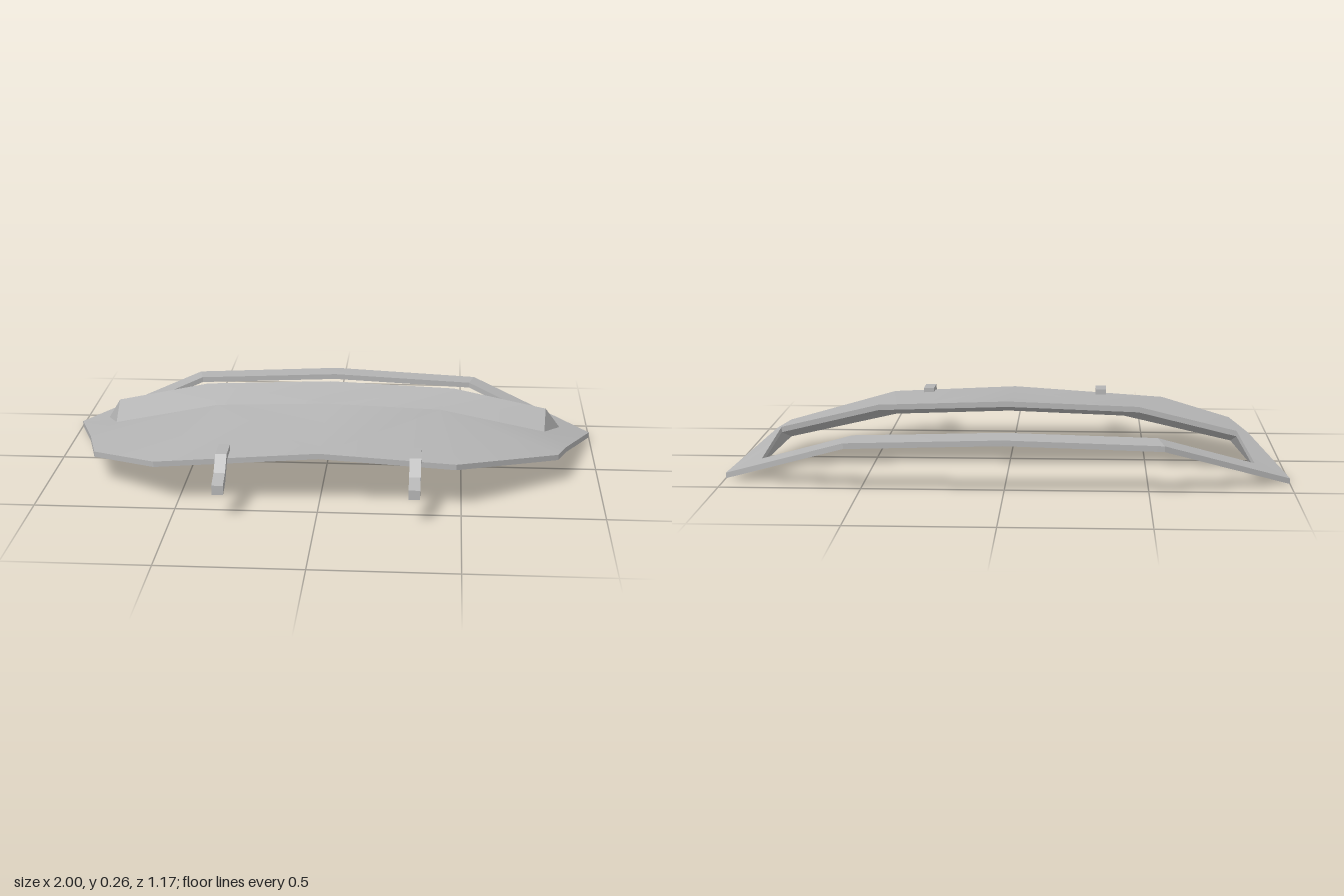
import * as THREE from 'three';
import { toCreasedNormals } from 'three/addons/utils/BufferGeometryUtils.js';

const THICKNESS = 0.02;

// Centreline points of the lid's upper surface
const centre = {
  front: [0, 0.195, 0.44], crease: [0, 0.215, -0.062], ridge: [0, 0.257, -0.208],
  innerRear: [0, 0.2, -0.485], outerRear: [0, 0.195, -0.588],
};
// Points on one half, mirrored to the other
const half = {
  creaseMid: [0.42, 0.2, -0.063], creaseEnd: [0.81, 0.115, -0.085],
  ridgeMid: [0.47, 0.24, -0.202], ridgeEnd: [0.82, 0.16, -0.225],
  side: [0.885, 0.1, 0.04], outerCorner: [1, 0.02, -0.365], innerCorner: [0.88, 0.06, -0.305],
  innerMid: [0.53, 0.182, -0.465], outerMid: [0.55, 0.175, -0.566],
};
// The two front corners differ slightly
const corners = {
  '1': { frontCorner: [0.48, 0.17, 0.45], frontSide: [0.85, 0.11, 0.155] },
  '-1': { frontCorner: [0.58, 0.155, 0.45], frontSide: [0.83, 0.115, 0.25] },
};
// Faces of one half
const faces = [
  ['creaseMid', 'crease', 'front', 'frontCorner'],
  ['creaseMid', 'frontCorner', 'frontSide', 'side', 'creaseEnd'],
  ['crease', 'creaseMid', 'ridgeMid', 'ridge'],
  ['creaseMid', 'creaseEnd', 'ridgeEnd', 'ridgeMid'],
  ['creaseEnd', 'innerCorner', 'ridgeEnd'],
  ['creaseEnd', 'side', 'outerCorner', 'innerCorner'],
  ['innerCorner', 'outerCorner', 'outerMid', 'innerMid'],
  ['innerMid', 'outerMid', 'outerRear', 'innerRear'],
];

// Closed shell: upper surface, lower surface and walls along every open edge
function shellGeometry() {
  const points = [], ids = new Map(), triangles = [];
  const id = (name, s) => {
    const key = centre[name] ? name : name + s;
    if (!ids.has(key)) {
      const [x, y, z] = centre[name] ?? half[name] ?? corners[s][name];
      ids.set(key, points.length);
      points.push([x * s, y, z]);
    }
    return ids.get(key);
  };
  for (const s of [1, -1]) {
    for (const face of faces) {
      const f = face.map((n) => id(n, s));
      for (let i = 1; i < f.length - 1; i++) {
        const [a, b, c] = [f[0], f[i], f[i + 1]].map((k) => points[k]);
        const up = (b[2] - a[2]) * (c[0] - a[0]) - (b[0] - a[0]) * (c[2] - a[2]);
        triangles.push(up > 0 ? [f[0], f[i], f[i + 1]] : [f[0], f[i + 1], f[i]]);
      }
    }
  }
  const n = points.length, index = [], edges = new Set();
  for (const [a, b, c] of triangles) {
    index.push(a, b, c, a + n, c + n, b + n);
    for (const e of [[a, b], [b, c], [c, a]]) edges.add(e.join());
  }
  for (const e of edges) {
    const [a, b] = e.split(',').map(Number);
    if (!edges.has(`${b},${a}`)) index.push(a + n, b + n, b, a + n, b, a);
  }
  const lower = points.map(([x, y, z]) => [x, y - THICKNESS, z]);
  const geometry = new THREE.BufferGeometry();
  geometry.setAttribute('position', new THREE.Float32BufferAttribute([...points, ...lower].flat(), 3));
  geometry.setIndex(index);
  return toCreasedNormals(geometry, 0.25);
}

// Bent strip, drawn as (z, y) and extruded across its width
function hingeGeometry() {
  const shape = new THREE.Shape([
    [0.37, 0.178], [0.455, 0.172], [0.522, 0.108], [0.585, 0.088],
    [0.585, 0.122], [0.522, 0.146], [0.468, 0.196], [0.37, 0.198],
  ].map(([z, y]) => new THREE.Vector2(z, y)));
  const geometry = new THREE.ExtrudeGeometry(shape, { depth: 0.04, bevelEnabled: false });
  geometry.translate(0, 0, -0.02);
  geometry.rotateY(-Math.PI / 2);
  return geometry;
}

export function createModel() {
  const grey = new THREE.MeshStandardMaterial({ color: 0xb4b4b4 });
  grey.name = 'panel grey';
  const model = new THREE.Group();
  model.name = 'rearLid';

  const lid = new THREE.Mesh(shellGeometry(), grey);
  lid.name = 'lidPanelWithWindowFrame';
  model.add(lid);

  // Pair of hinge arms at the front edge
  const arm = hingeGeometry();
  for (const s of [1, -1]) {
    const hinge = new THREE.Mesh(arm, grey);
    hinge.name = s > 0 ? 'leftHinge' : 'rightHinge';
    hinge.position.x = s * 0.338;
    model.add(hinge);
  }
  return model;
}
